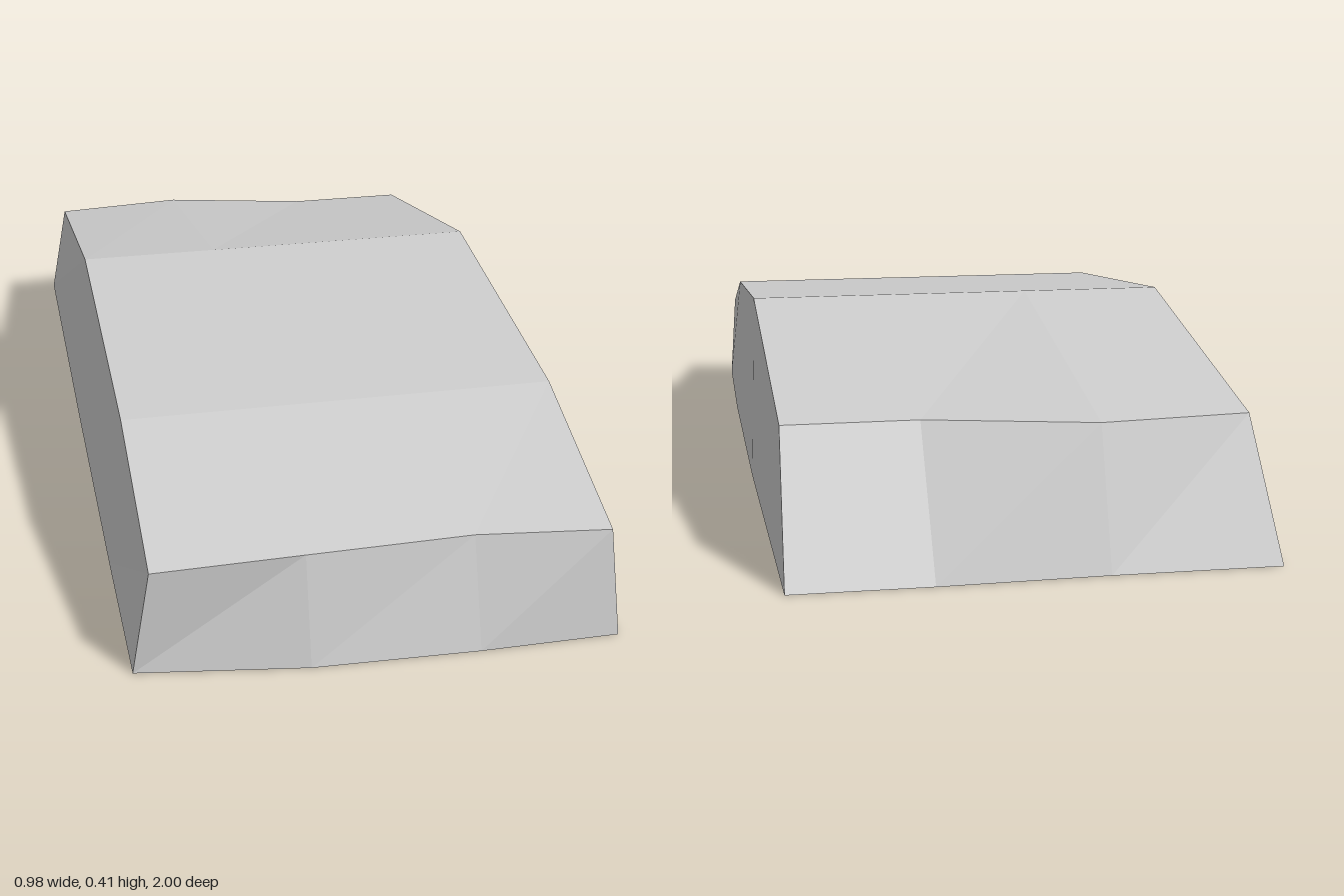
import * as THREE from 'three';

// Faceted open-bottomed shell: a curved cover over two side walls and two end walls.
export function createModel() {
  const group = new THREE.Group();
  group.name = 'openShell';
  const paint = new THREE.MeshStandardMaterial({ color: 0xcccccc, flatShading: true, side: THREE.DoubleSide });
  paint.name = 'plain grey';

  // Skins quads between successive rows of points
  function panel(name, rows) {
    const pos = [];
    for (let r = 0; r < rows.length - 1; r++) {
      const a = rows[r], b = rows[r + 1];
      for (let i = 0; i < a.length - 1; i++) {
        pos.push(...a[i], ...a[i + 1], ...b[i + 1], ...a[i], ...b[i + 1], ...b[i]);
      }
    }
    const geo = new THREE.BufferGeometry();
    geo.setAttribute('position', new THREE.Float32BufferAttribute(pos, 3));
    geo.computeVertexNormals();
    const mesh = new THREE.Mesh(geo, paint);
    mesh.name = name;
    group.add(mesh);
  }

  // One cross row: height, outer x values, and z at each of the four columns
  const row = (y, xr, xl, zs) => [xr, -0.145, 0.195, xl].map((x, i) => [x, y, zs[i]]);
  const level = (z) => [z, z, z, z];

  const frontBase = row(0, -0.488, 0.48, [0.94, 0.99, 1.0, 0.998]);
  const frontTop = row(0.22, -0.45, 0.467, [0.938, 0.93, 0.922, 0.955]);
  const roofFront = row(0.34, -0.452, 0.471, level(0.535));
  const roofPeak = row(0.413, -0.455, 0.475, level(-0.165));
  const rearTop = row(0.275, -0.452, 0.468, [-0.858, -0.89, -0.81, -0.81]);
  const rearBase = row(0, -0.487, 0.477, [-0.99, -0.99, -1.0, -1.0]);

  panel('frontWall', [frontBase, frontTop]);
  panel('roof', [frontTop, roofFront, roofPeak, rearTop]);
  panel('rearWall', [rearTop, rearBase]);

  // Side walls lean from a slightly bowed base up to the roof edge
  const tops = [frontTop, roofFront, roofPeak, rearTop];
  const side = (col, x) => [
    [frontBase[col], [x, 0, 0.535], [x, 0, -0.165], rearBase[col]],
    tops.map((t) => t[col]),
  ];
  panel('leftWall', side(3, 0.487));
  panel('rightWall', side(0, -0.49).map((r) => r.reverse()));

  return group;
}
